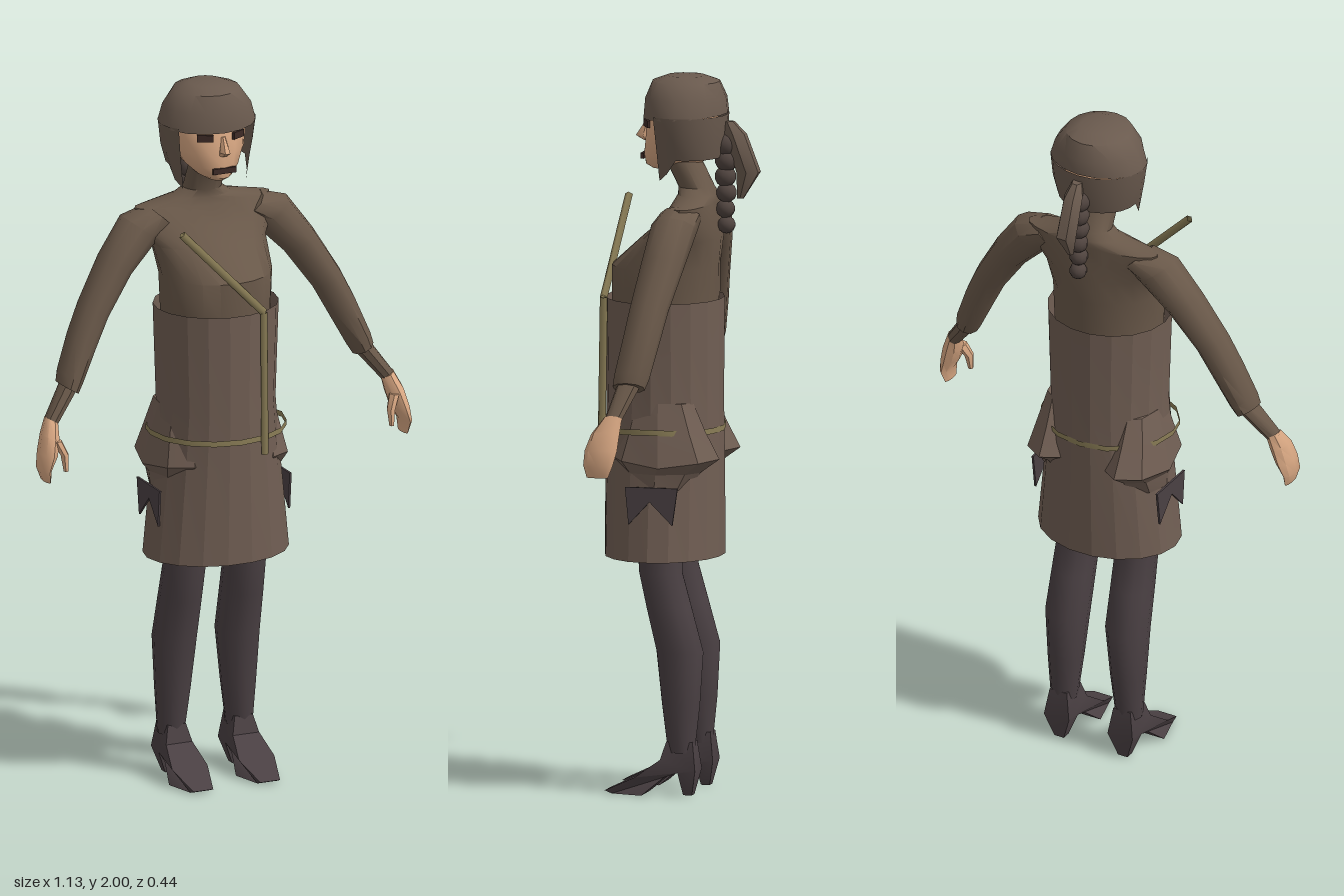
import * as THREE from 'three';
import { toCreasedNormals } from 'three/addons/utils/BufferGeometryUtils.js';

const mat = (name, color, side = THREE.FrontSide) => {
  const m = new THREE.MeshStandardMaterial({ color, side });
  m.name = name;
  return m;
};

// Skin over rings listed from top to bottom: [x, y, z, radius across, radius in z, tilt].
// Options: sides, arc [from, to], open ends, crease angle, warp(point, angle, row).
function loft(rings, { sides = 12, arc = [0, Math.PI * 2], open = false, crease = 0.75, warp } = {}) {
  const pos = [], idx = [];
  const add = (x, y, z) => pos.push(x, y, z) / 3 - 1;
  rings.forEach(([x, y, z, ra, rb, tilt = 0], row) => {
    for (let j = 0; j <= sides; j++) {
      const a = arc[0] + (arc[1] - arc[0]) * j / sides;
      const c = Math.cos(a) * ra;
      const p = new THREE.Vector3(x + c * Math.cos(tilt), y + c * Math.sin(tilt), z + Math.sin(a) * rb);
      if (warp) warp(p, a, row);
      add(p.x, p.y, p.z);
    }
  });
  const w = sides + 1, last = rings.length - 1;
  for (let i = 0; i < last; i++) {
    for (let j = 0; j < sides; j++) {
      const a = i * w + j, b = a + w;
      idx.push(a, a + 1, b, a + 1, b + 1, b);
    }
  }
  if (!open) {
    const top = add(...rings[0].slice(0, 3)), bottom = add(...rings[last].slice(0, 3));
    for (let j = 0; j < sides; j++) {
      idx.push(top, j + 1, j, bottom, last * w + j, last * w + j + 1);
    }
  }
  const g = new THREE.BufferGeometry();
  g.setAttribute('position', new THREE.Float32BufferAttribute(pos, 3));
  g.setIndex(idx);
  return toCreasedNormals(g, crease);
}

export function createModel() {
  const model = new THREE.Group();
  const hairMat = mat('hair brown', 0x6a5a4e, THREE.DoubleSide);
  const braidMat = mat('braid brown', 0x50443f);
  const sweater = mat('sweater brown', 0x695849);
  const cloth = mat('skirt brown', 0x705e53, THREE.DoubleSide);
  const stocking = mat('stocking charcoal', 0x4a4043, THREE.DoubleSide);
  const skin = mat('skin', 0xd9a883);
  const olive = mat('strap olive', 0x8a7d56, THREE.DoubleSide);
  const dark = mat('eye and lip dark', 0x3d2a26);

  const part = (name, geometry, material, parent = model) => {
    const m = new THREE.Mesh(geometry, material);
    m.name = name;
    parent.add(m);
    return m;
  };

  // Sweater body, from the neck down into the bodice
  part('sweaterBody', loft([
    [0, 1.77, 0, 0.055, 0.05], [0, 1.69, -0.04, 0.055, 0.05], [0, 1.67, -0.045, 0.085, 0.055],
    [0, 1.65, -0.042, 0.205, 0.058], [0, 1.6, -0.025, 0.205, 0.076], [0, 1.55, 0, 0.168, 0.11],
    [0, 1.47, 0.047, 0.16, 0.15], [0, 1.36, 0.048, 0.155, 0.15], [0, 1.25, 0.05, 0.15, 0.14],
  ], { sides: 20 }), sweater);

  // Bodice and skirt as one open faceted tube
  part('bodiceAndSkirt', loft([
    [0, 1.38, 0.05, 0.177, 0.165], [0, 1.1, 0.05, 0.167, 0.163],
    [0, 0.93, 0.05, 0.182, 0.165], [0, 0.66, 0.05, 0.21, 0.166],
  ], { sides: 18, open: true, crease: 0.25 }), cloth);

  // Belt sagging slightly at the front and back
  part('belt', loft([
    [0, 1.032, 0.053, 0.2, 0.17], [0, 1.016, 0.053, 0.2, 0.17],
  ], { sides: 16, open: true, warp: (p, a) => { p.y -= 0.008 * Math.abs(Math.sin(a)); } }), olive);

  // Shoulder strap in two straight runs
  const strap = new THREE.Group();
  strap.name = 'strap';
  model.add(strap);
  const knots = [[-0.17, 1.635, 0.196], [0.075, 1.38, 0.207], [0.075, 0.97, 0.213]].map(p => new THREE.Vector3(...p));
  for (let i = 0; i < 2; i++) {
    part('strapRun', new THREE.TubeGeometry(new THREE.LineCurve3(knots[i], knots[i + 1]), 1, 0.011, 4), olive, strap);
  }

  // Head and facial features
  part('face', loft([
    [0, 1.95, -0.01, 0.08, 0.08], [0, 1.88, 0, 0.105, 0.1], [0, 1.82, 0, 0.098, 0.105],
    [0, 1.78, 0.012, 0.076, 0.098], [0, 1.75, 0.03, 0.045, 0.075], [0, 1.738, 0.035, 0.025, 0.05],
  ], { sides: 16 }), skin);
  part('nose', loft([
    [0, 1.87, 0.1, 0.006, 0.006], [0, 1.828, 0.11, 0.015, 0.025], [0, 1.815, 0.102, 0.012, 0.01],
  ], { sides: 6 }), skin);
  const mouth = part('mouth', new THREE.BoxGeometry(0.07, 0.016, 0.009), dark);
  mouth.position.set(0, 1.774, 0.108);

  // Hair: dome with fringe, then a curtain round sides and back with pointed front locks
  part('hairCap', loft([
    [0, 2, -0.01, 0.05, 0.055], [0, 1.985, -0.01, 0.092, 0.095], [0, 1.94, -0.01, 0.125, 0.114],
    [0, 1.89, -0.01, 0.14, 0.118],
  ], { sides: 16, warp: (p, a, row) => { if (row === 3) p.y -= 0.008 * Math.sin(a); } }), hairMat);
  const front = 0.6;
  part('hairCurtain', loft([
    [0, 1.895, -0.01, 0.14, 0.118], [0, 1.83, -0.012, 0.132, 0.112], [0, 1.775, -0.014, 0.116, 0.1],
  ], {
    sides: 16, open: true, arc: [-Math.PI - front, front],
    warp: (p, a, row) => {
      const s = Math.sin(a);
      if (row === 2) p.y -= s > 0.2 ? 0.06 * Math.min(1, s * 2) : 0;
    },
  }), hairMat);
  part('ponytail', loft([
    [0, 1.875, -0.13, 0.015, 0.018], [0, 1.84, -0.15, 0.028, 0.034], [0, 1.735, -0.188, 0.03, 0.036],
    [0, 1.66, -0.165, 0.008, 0.01],
  ], { sides: 6 }), hairMat);

  // Braid of shrinking beads
  const braid = new THREE.Group();
  braid.name = 'braid';
  model.add(braid);
  for (let i = 0; i < 6; i++) {
    const bead = part('braidBead', new THREE.SphereGeometry(0.034 - i * 0.0018, 10, 7), braidMat, braid);
    bead.position.set(0, 1.81 - i * 0.045, -0.122 - 0.003 * (i % 2));
  }

  // Side profile of the heeled shoe, as (z, y)
  const shoeShape = new THREE.Shape([
    [-0.06, 0.15], [0.015, 0.15], [0.03, 0.1], [0.1, 0.05], [0.19, 0.008], [0.17, 0], [0.08, 0],
    [0.02, 0.05], [-0.02, 0.065], [-0.03, 0], [-0.055, 0], [-0.07, 0.07],
  ].map(p => new THREE.Vector2(...p)));

  // Ragged underskirt panel, as (z, y)
  const ragShape = new THREE.Shape([
    [0.115, 0.87], [0.105, 0.765], [0.045, 0.83], [-0.02, 0.765], [-0.035, 0.87],
  ].map(p => new THREE.Vector2(...p)));

  for (const s of [1, -1]) {
    const side = s > 0 ? 'left' : 'right';
    const mirrored = rings => rings.map(([x, y, z, ra, rb, t = 0]) => [x * s, y, z, ra, rb, t * s]);

    // Eye
    const eye = part(side + 'Eye', new THREE.BoxGeometry(0.045, 0.02, 0.008), dark);
    eye.position.set(s * 0.05, 1.868, 0.09);
    eye.rotation.y = s * 0.48;

    // Sleeve, inner cuff and hand
    part(side + 'Sleeve', loft(mirrored([
      [0.14, 1.625, -0.03, 0.045, 0.058, 0.75], [0.2, 1.598, -0.025, 0.062, 0.064, 0.65],
      [0.28, 1.505, -0.012, 0.052, 0.06, 0.6], [0.355, 1.39, 0.008, 0.046, 0.054, 0.52],
      [0.395, 1.31, 0.02, 0.044, 0.052, 0.5], [0.438, 1.215, 0.036, 0.038, 0.05, 0.52],
      [0.45, 1.185, 0.042, 0.033, 0.046, 0.55],
    ]), { sides: 10 }), sweater);
    part(side + 'Cuff', loft(mirrored([
      [0.44, 1.2, 0.04, 0.026, 0.034, 0.6], [0.515, 1.1, 0.072, 0.02, 0.024, 0.55],
    ]), { sides: 8 }), sweater);
    part(side + 'Hand', loft(mirrored([
      [0.512, 1.108, 0.072, 0.02, 0.026, 0.5], [0.525, 1.065, 0.09, 0.026, 0.04, 0.35],
      [0.537, 1.02, 0.1, 0.024, 0.046, 0.15], [0.55, 0.98, 0.105, 0.015, 0.042],
      [0.545, 0.945, 0.108, 0.008, 0.03],
    ]), { sides: 8 }), skin);
    part(side + 'Thumb', loft(mirrored([
      [0.515, 1.06, 0.115, 0.014, 0.02], [0.498, 1.02, 0.13, 0.012, 0.016], [0.497, 0.975, 0.137, 0.007, 0.009],
    ]), { sides: 6 }), skin);

    // Flared hip flap with a tucked lower edge
    part(side + 'HipFlap', loft(mirrored([
      [0.12, 1.1, 0.03, 0.045, 0.09], [0.12, 1.02, 0.025, 0.068, 0.12], [0.12, 0.925, 0.02, 0.09, 0.155],
      [0.12, 0.905, 0.03, 0.075, 0.11], [0.12, 0.86, 0.035, 0.072, 0.085],
    ]), {
      sides: 8, crease: 0.3,
      warp: (p, a, row) => { if (row === 2) p.y += 0.02 * Math.abs(Math.sin(a)); },
    }), cloth);
    const rag = new THREE.ExtrudeGeometry(ragShape, { depth: 0.006, bevelEnabled: false });
    rag.rotateY(-Math.PI / 2);
    rag.translate(s * 0.199 + 0.003, 0, 0);
    part(side + 'RaggedPanel', rag, stocking);

    // Stockinged leg
    part(side + 'Leg', loft(mirrored([
      [0.088, 0.82, 0.045, 0.066, 0.066], [0.092, 0.62, 0.04, 0.06, 0.062], [0.094, 0.52, 0.015, 0.061, 0.065],
      [0.096, 0.4, -0.016, 0.062, 0.067], [0.1, 0.25, -0.02, 0.05, 0.054], [0.104, 0.12, -0.022, 0.038, 0.038],
    ]), { sides: 12 }), stocking);

    // Heeled shoe, narrow at ankle, heel and toe tip
    const shoe = new THREE.ExtrudeGeometry(shoeShape, { depth: 1, bevelEnabled: false });
    shoe.rotateY(-Math.PI / 2);
    shoe.translate(0.5, 0, 0);
    const p = shoe.attributes.position;
    for (let i = 0; i < p.count; i++) {
      const y = p.getY(i), z = p.getZ(i);
      const width = y > 0.12 ? 0.055 : z > 0.15 ? 0.06 : z > 0.06 ? 0.108 : z < -0.025 && y < 0.02 ? 0.03 : 0.08;
      p.setX(i, s * 0.102 + p.getX(i) * width);
    }
    part(side + 'Shoe', toCreasedNormals(shoe, 0.6), stocking);
  }
  return model;
}
